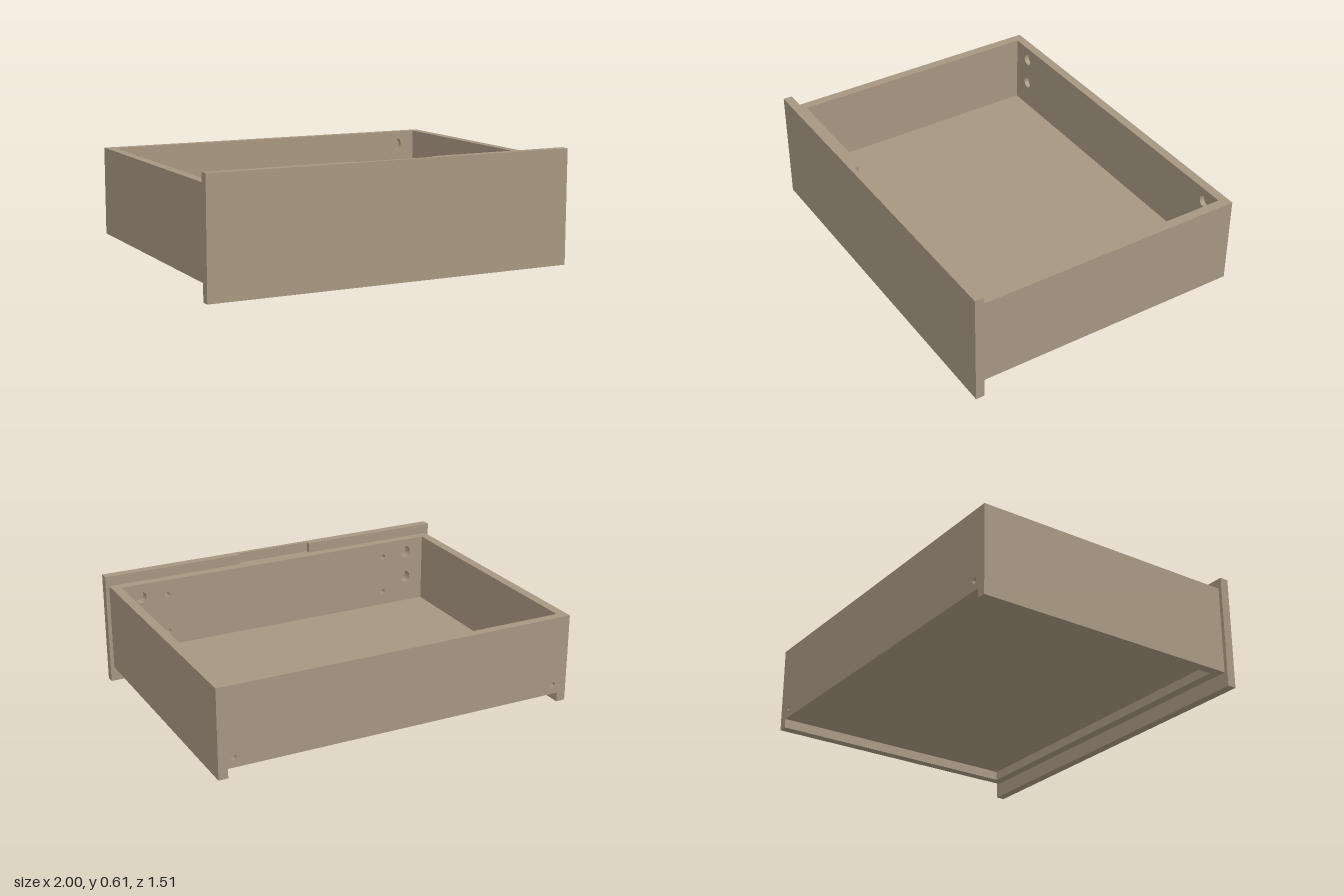
import * as THREE from 'three';

export function createModel() {
  const group = new THREE.Group();
  group.name = 'drawer';
  const wood = new THREE.MeshStandardMaterial({ color: 0xa69680 });
  wood.name = 'wood';

  const add = (name, geometry, x = 0, y = 0, z = 0) => {
    const mesh = new THREE.Mesh(geometry, wood);
    mesh.name = name;
    mesh.position.set(x, y, z);
    group.add(mesh);
    return mesh;
  };

  // Box given by its low and high corners
  const box = (name, x0, x1, y0, y1, z0, z1) =>
    add(name, new THREE.BoxGeometry(x1 - x0, y1 - y0, z1 - z0), (x0 + x1) / 2, (y0 + y1) / 2, (z0 + z1) / 2);

  // Upright board facing z, from an outline with mirrored round holes [x, y, rx, ry]
  const board = (name, outline, z0, z1, holes = []) => {
    const shape = new THREE.Shape(outline.map(([x, y]) => new THREE.Vector2(x, y)));
    for (const [x, y, rx, ry] of holes) {
      for (const side of [-1, 1]) {
        shape.holes.push(new THREE.Path().absellipse(side * x, y, rx, ry, 0, Math.PI * 2, true));
      }
    }
    const geometry = new THREE.ExtrudeGeometry(shape, { depth: z1 - z0, bevelEnabled: false, curveSegments: 10 });
    return add(name, geometry, 0, 0, z0);
  };
  const rect = (x, y0, y1) => [[-x, y0], [x, y0], [x, y1], [-x, y1]];

  const outer = 0.98, inner = 0.93;
  const bottom = 0.08, top = 0.555, floorBottom = 0.13, floorTop = 0.175;
  const back = -0.757, backInner = -0.71, frontInner = 0.657, frontOuter = 0.709, face = 0.757;
  const pockets = [[0.82, 0.48, 0.03, 0.033], [0.82, 0.325, 0.03, 0.033]];

  // Side walls
  box('rightWall', -outer, -inner, bottom, top, back, frontOuter);
  box('leftWall', inner, outer, bottom, top, back, frontOuter);

  // Back wall, raised above the side feet: screw holes outside, pocket holes inside
  board('backWallOuter', rect(inner, floorBottom, top), back, back + 0.02, [[0.9, 0.183, 0.014, 0.014]]);
  board('backWallInner', rect(inner, floorBottom, top), back + 0.02, backInner, pockets);

  // Inner front wall with pocket holes and face fixing holes
  board('innerFrontWall', rect(inner, bottom, top), frontInner, frontOuter,
    [...pockets, [0.67, 0.47, 0.015, 0.015], [0.67, 0.255, 0.015, 0.015]]);

  // Floor panel, set up into the frame
  box('floor', -inner, inner, floorBottom, floorTop, backInner, frontInner);

  // Face panel with a finger pull cut into the back of its top edge
  const pull = 0.215, height = 0.61;
  box('facePanel', -1, 1, 0, height, 0.733, face);
  board('facePanelBack', [
    [-1, 0], [1, 0], [1, height], [pull, height], [pull, top], [-pull, top], [-pull, height], [-1, height],
  ], frontOuter, 0.733);

  return group;
}
